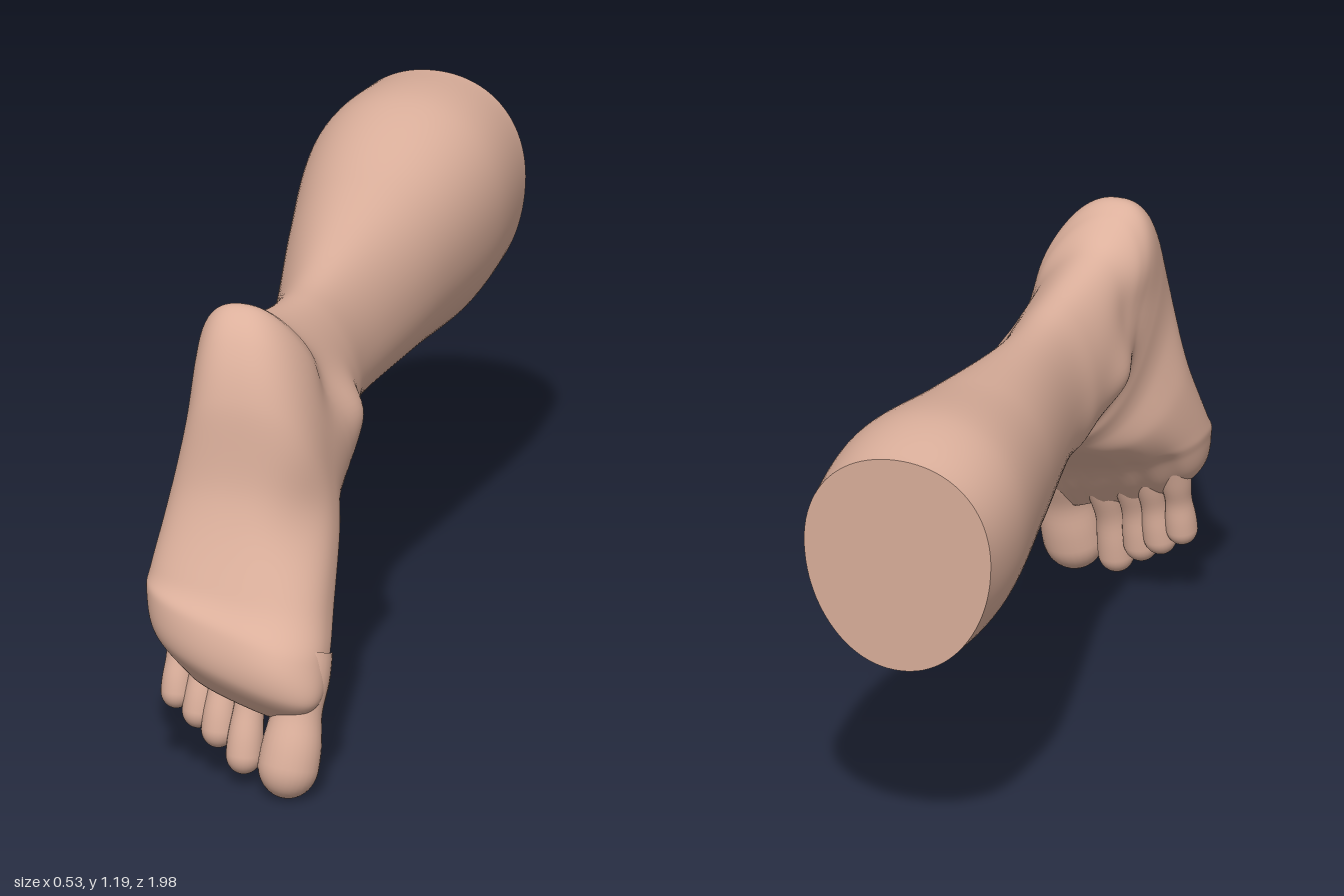
import * as THREE from 'three';

const skin = new THREE.MeshStandardMaterial({ color: 0xdcb09c, roughness: 0.8 });
const spow = (v, n) => Math.sign(v) * Math.pow(Math.abs(v), 2 / n);

// Smooth interpolation of a table of rows
function rowAt(rows, t) {
  const i = Math.min(Math.floor(t), rows.length - 2), f = t - i;
  const r = k => rows[Math.max(0, Math.min(rows.length - 1, k))];
  return rows[i].map((_, c) => {
    const a = r(i - 1)[c], b = r(i)[c], d = r(i + 1)[c], e = r(i + 2)[c];
    return b + 0.5 * f * (d - a + f * (2 * a - 5 * b + 4 * d - e + f * (3 * (b - d) + e - a)));
  });
}

// Skin over rings of points, closed with a point at the end
function loft(rings, tip) {
  const n = rings[0].length, pos = [], idx = [];
  rings.forEach(ring => ring.forEach(p => pos.push(p.x, p.y, p.z)));
  for (let i = 0; i < rings.length - 1; i++) {
    for (let j = 0; j < n; j++) {
      const k = (j + 1) % n, a = i * n + j, b = i * n + k;
      idx.push(a, b, a + n, b, b + n, a + n);
    }
  }
  const base = (rings.length - 1) * n;
  pos.push(tip.x, tip.y, tip.z);
  for (let j = 0; j < n; j++) idx.push(base + j, base + (j + 1) % n, base + n);
  const g = new THREE.BufferGeometry();
  g.setAttribute('position', new THREE.Float32BufferAttribute(pos, 3));
  g.setIndex(idx);
  g.computeVertexNormals();
  return g;
}

// Cross-sections from calf to ball, each spanning the shin/instep point to the calf/sole point:
// front z, front y, back z, back y, min x, max x, shift of the back, taper to the back
const sections = [
  [-0.96, 0.58, -1, 1.175, -0.22, 0.26, 0, -0.1],
  [-0.75, 0.575, -0.75, 1.195, -0.245, 0.255, 0, -0.1],
  [-0.4, 0.625, -0.4, 1.125, -0.205, 0.195, 0, -0.03],
  [0, 0.665, 0.02, 1.055, -0.145, 0.12, 0, 0.14],
  [0.17, 0.655, 0.24, 1.055, -0.148, 0.123, -0.01, 0.22],
  [0.31, 0.63, 0.45, 1.095, -0.16, 0.14, -0.045, 0.19],
  [0.37, 0.607, 0.55, 1.155, -0.168, 0.142, -0.06, 0.1],
  [0.4, 0.595, 0.62, 1.175, -0.172, 0.142, -0.06, 0.06],
  [0.42, 0.58, 0.695, 1.11, -0.178, 0.147, -0.05, 0.04],
  [0.45, 0.558, 0.752, 0.97, -0.188, 0.157, -0.04, -0.01],
  [0.5, 0.517, 0.785, 0.73, -0.225, 0.18, -0.03, -0.08],
  [0.6, 0.44, 0.885, 0.5, -0.255, 0.193, -0.03, -0.06],
  [0.67, 0.38, 0.952, 0.4, -0.263, 0.205, -0.02, -0.02],
  [0.74, 0.3, 0.965, 0.295, -0.243, 0.203, 0, 0],
  [0.81, 0.23, 0.91, 0.215, -0.15, 0.14, 0, 0],
];

// Soft swellings and hollows: centre, displacement, radius
const bumps = [
  [0.15, 0.82, 0.34, 0.026, 0, 0, 0.075],    // inner ankle bone
  [-0.17, 0.8, 0.37, -0.026, 0, 0, 0.075],   // outer ankle bone
  [0.13, 0.93, 0.47, -0.02, 0, 0, 0.08],     // hollows beside the heel cord
  [-0.18, 0.95, 0.46, 0.018, 0, 0, 0.08],
  [0.17, 0.66, 0.74, -0.01, 0, -0.04, 0.13], // arch
  [0.11, 0.36, 0.92, 0, 0, 0.012, 0.09],     // pad behind the big toe
];

function bodyPoint(row, t, angle) {
  const [fz, fy, bz, by, x0, x1, shift, taper] = row;
  // round leg, squarer heel and foot
  const n = 2.1 + 0.35 * THREE.MathUtils.smoothstep(t, 5, 8);
  const u = spow(Math.cos(angle), n), v = spow(Math.sin(angle), n);
  const x = (x0 + x1) / 2 + (x1 - x0) / 2 * u * (1 - taper * v) + shift * v;
  const p = new THREE.Vector3(x, (fy + by) / 2 + (by - fy) / 2 * v, (fz + bz) / 2 + (bz - fz) / 2 * v);
  // slant of the forefoot toward the little toe
  const w = THREE.MathUtils.smoothstep(t, 9.5, 12.5);
  p.y -= (x - 0.05) * 0.28 * w;
  p.z += (x - 0.05) * 0.2 * w;
  // tendons fanning over the instep
  if (v < 0) p.z += 0.008 * w * v * Math.cos((x - 0.01) * 78);
  const q = p.clone();
  for (const [cx, cy, cz, dx, dy, dz, r] of bumps) {
    const k = Math.exp(-((q.x - cx) ** 2 + (q.y - cy) ** 2 + (q.z - cz) ** 2) / (r * r));
    p.x += dx * k;
    p.y += dy * k;
    p.z += dz * k;
  }
  return p;
}

// Toe along a bent path, with a neck and a rounded pad
function toe(base, bend, end, r, depth) {
  const path = new THREE.QuadraticBezierCurve3(...[base, bend, end].map(a => new THREE.Vector3(...a)));
  const s0 = 1 - 1.1 * r / path.getLength(), rings = [];
  const ring = (s, rad) => {
    const c = path.getPointAt(s), d = path.getTangentAt(s);
    const B = d.clone().cross(new THREE.Vector3(1, 0, 0)).normalize();
    const A = B.clone().cross(d);
    rings.push(Array.from({ length: 28 }, (_, j) => {
      const a = j / 28 * Math.PI * 2;
      return c.clone().addScaledVector(A, rad * Math.cos(a)).addScaledVector(B, rad * depth * Math.sin(a));
    }));
  };
  const neck = s => 1 - 0.16 * Math.exp(-(((s - s0 + 0.36) / 0.17) ** 2));
  for (let i = 0; i < 16; i++) ring(s0 * i / 16, r * neck(s0 * i / 16));
  for (let i = 0; i < 12; i++) {
    const a = i / 12 * Math.PI / 2, s = s0 + (1 - s0) * Math.sin(a);
    ring(s, r * Math.cos(a) * neck(s));
  }
  return loft(rings, path.getPointAt(1));
}

export function createModel() {
  const group = new THREE.Group();
  const add = (name, geometry) => {
    const m = new THREE.Mesh(geometry, skin);
    m.name = name;
    group.add(m);
  };

  // Leg, ankle, heel and foot as one skin
  const around = 96, steps = 168, last = sections.length - 1, rings = [];
  for (let i = 0; i <= steps; i++) {
    const t = i / steps * last, row = rowAt(sections, t);
    rings.push(Array.from({ length: around }, (_, j) => bodyPoint(row, t, j / around * Math.PI * 2)));
  }
  const mid = ring => ring.reduce((s, p) => s.add(p), new THREE.Vector3()).divideScalar(ring.length);
  add('legAndFoot', loft(rings, mid(rings[steps])));

  // Flat cut below the knee
  const rim = rings[0].slice().reverse();
  add('legEnd', loft([rim], mid(rim)));

  // Toes: base, bend, tip, radius, depth ratio
  add('bigToe', toe([0.14, 0.36, 0.83], [0.145, 0.17, 0.9], [0.113, 0.004, 0.928], 0.077, 0.92));
  add('secondToe', toe([0.03, 0.35, 0.79], [0, 0.2, 0.85], [0, 0.033, 0.87], 0.046, 1));
  add('thirdToe', toe([-0.05, 0.37, 0.77], [-0.07, 0.23, 0.825], [-0.073, 0.085, 0.84], 0.044, 1));
  add('fourthToe', toe([-0.11, 0.385, 0.755], [-0.122, 0.26, 0.8], [-0.132, 0.122, 0.815], 0.042, 1));
  add('littleToe', toe([-0.18, 0.4, 0.745], [-0.187, 0.29, 0.785], [-0.19, 0.163, 0.8], 0.04, 1));
  return group;
}
